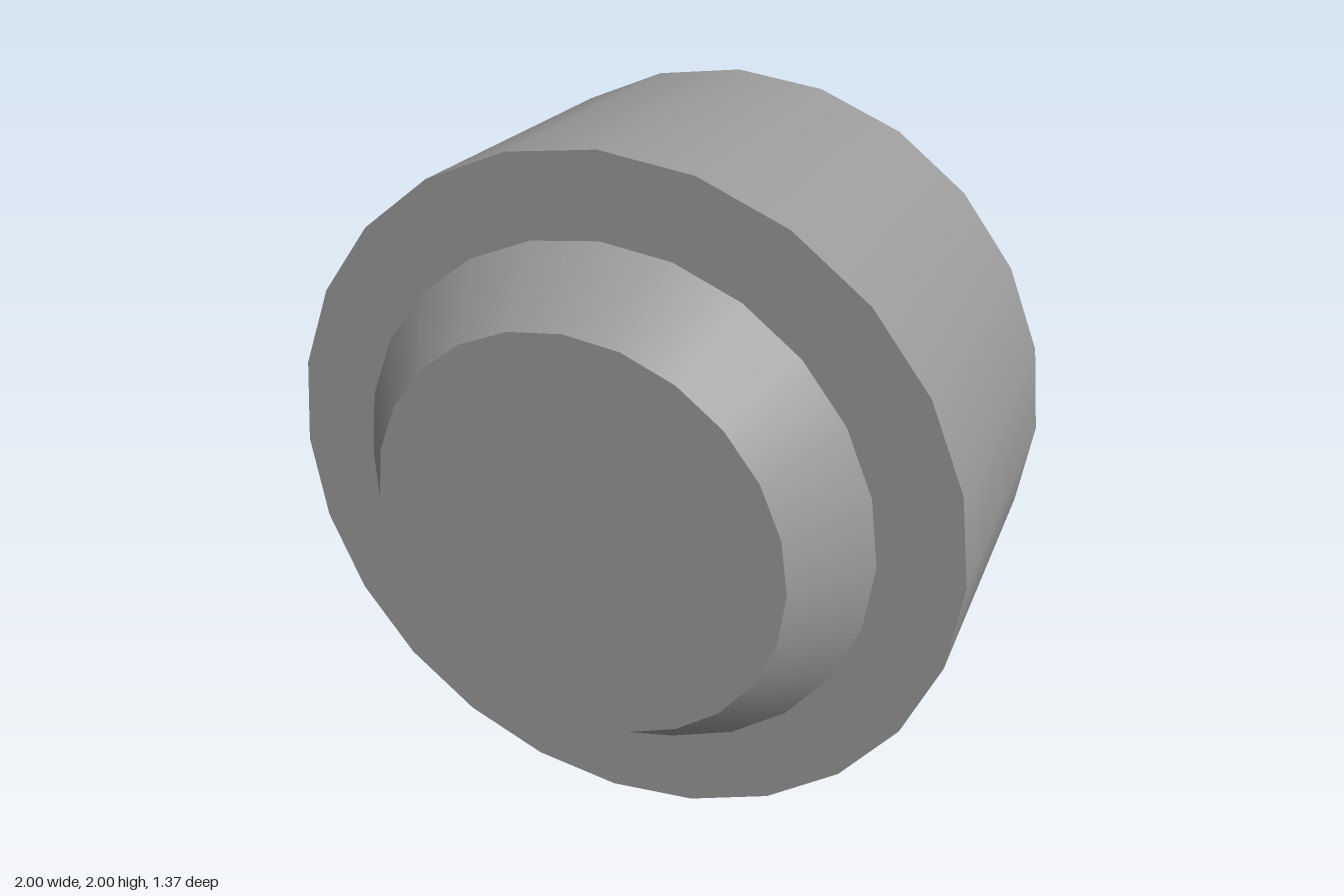
import * as THREE from 'three';

const SIDES = 24;
const material = new THREE.MeshStandardMaterial({ color: 0x9b9b9b });

// Smooth-sided round part lying along z
function roundPart(name, frontRadius, backRadius, depth, z) {
  const geometry = new THREE.CylinderGeometry(frontRadius, backRadius, depth, SIDES);
  geometry.rotateX(Math.PI / 2);
  const mesh = new THREE.Mesh(geometry, material);
  mesh.name = name;
  mesh.position.set(0, 1, z);
  return mesh;
}

export function createModel() {
  const group = new THREE.Group();
  group.name = 'wheel';

  const rimHalf = 0.475, hubEnd = 0.686;
  const hubDepth = hubEnd - rimHalf;
  const hubZ = (hubEnd + rimHalf) / 2;

  // Wide wheel body
  group.add(roundPart('wheelBody', 1, 1, rimHalf * 2, 0));

  // Tapered hubs on both faces
  group.add(roundPart('frontHub', 0.6, 0.768, hubDepth, hubZ));
  group.add(roundPart('backHub', 0.768, 0.6, hubDepth, -hubZ));

  return group;
}
